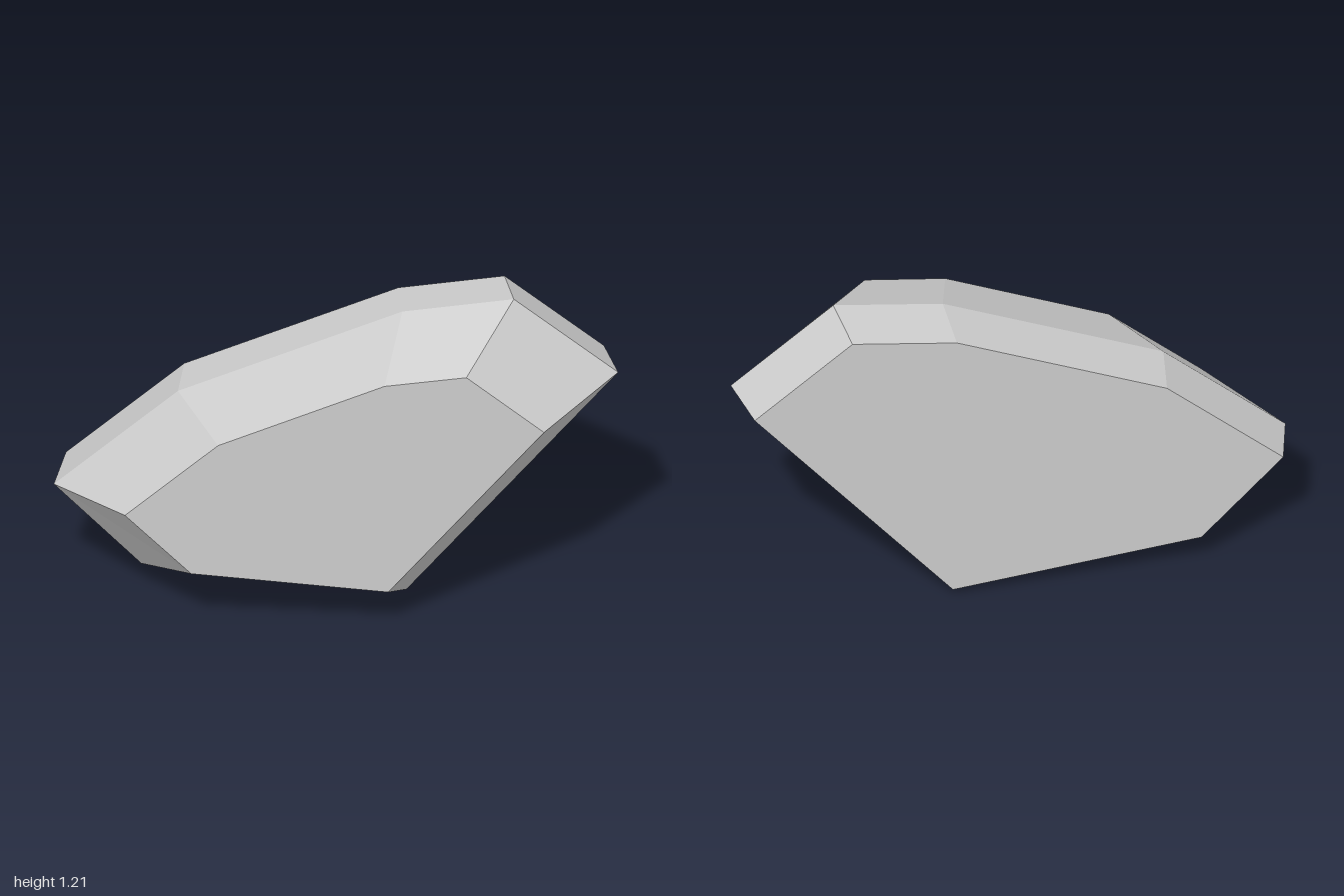
import * as THREE from 'three';

// Widest outline of the stone, counter-clockwise seen from the front
const girdle = [[-1, 0.445], [-0.69, 0.112], [0.25, 0], [1, 0.903], [0.63, 1.21], [0.235, 1.16], [-0.56, 0.832]];
// Smaller outline of the front face
const face = [[-0.75, 0.5], [-0.515, 0.255], [0.183, 0.175], [0.735, 0.84], [0.46, 1.07], [0.17, 1.035], [-0.42, 0.79]];
// Back outline: the girdle shrunk slightly about its middle
const back = girdle.map(([x, y]) => [-0.05 + (x + 0.05) * 0.953, 0.63 + (y - 0.63) * 0.953]);

// Builds a closed faceted solid through rings ordered from back to front
function loft(rings) {
  const n = rings[0].length;
  const pos = [];
  const tri = (a, b, c) => pos.push(...a, ...b, ...c);
  const first = rings[0], last = rings[rings.length - 1];
  for (let r = 0; r < rings.length - 1; r++) {
    for (let i = 0; i < n; i++) {
      const j = (i + 1) % n;
      const a = rings[r][i], b = rings[r][j], c = rings[r + 1][j], d = rings[r + 1][i];
      tri(a, b, c);
      tri(a, c, d);
    }
  }
  for (let i = 1; i < n - 1; i++) {
    tri(last[0], last[i], last[i + 1]);
    tri(first[0], first[i + 1], first[i]);
  }
  const geo = new THREE.BufferGeometry();
  geo.setAttribute('position', new THREE.Float32BufferAttribute(pos, 3));
  geo.computeVertexNormals();
  return geo;
}

export function createModel() {
  const group = new THREE.Group();
  group.name = 'stone';
  const grey = new THREE.MeshStandardMaterial({ color: 0xcccccc, flatShading: true });
  grey.name = 'stone grey';

  const at = (ring, z) => ring.map(([x, y]) => [x, y, z]);
  const slab = new THREE.Mesh(loft([at(back, -0.25), at(girdle, -0.05), at(face, 0.25)]), grey);
  slab.name = 'bevelledSlab';
  group.add(slab);
  return group;
}
